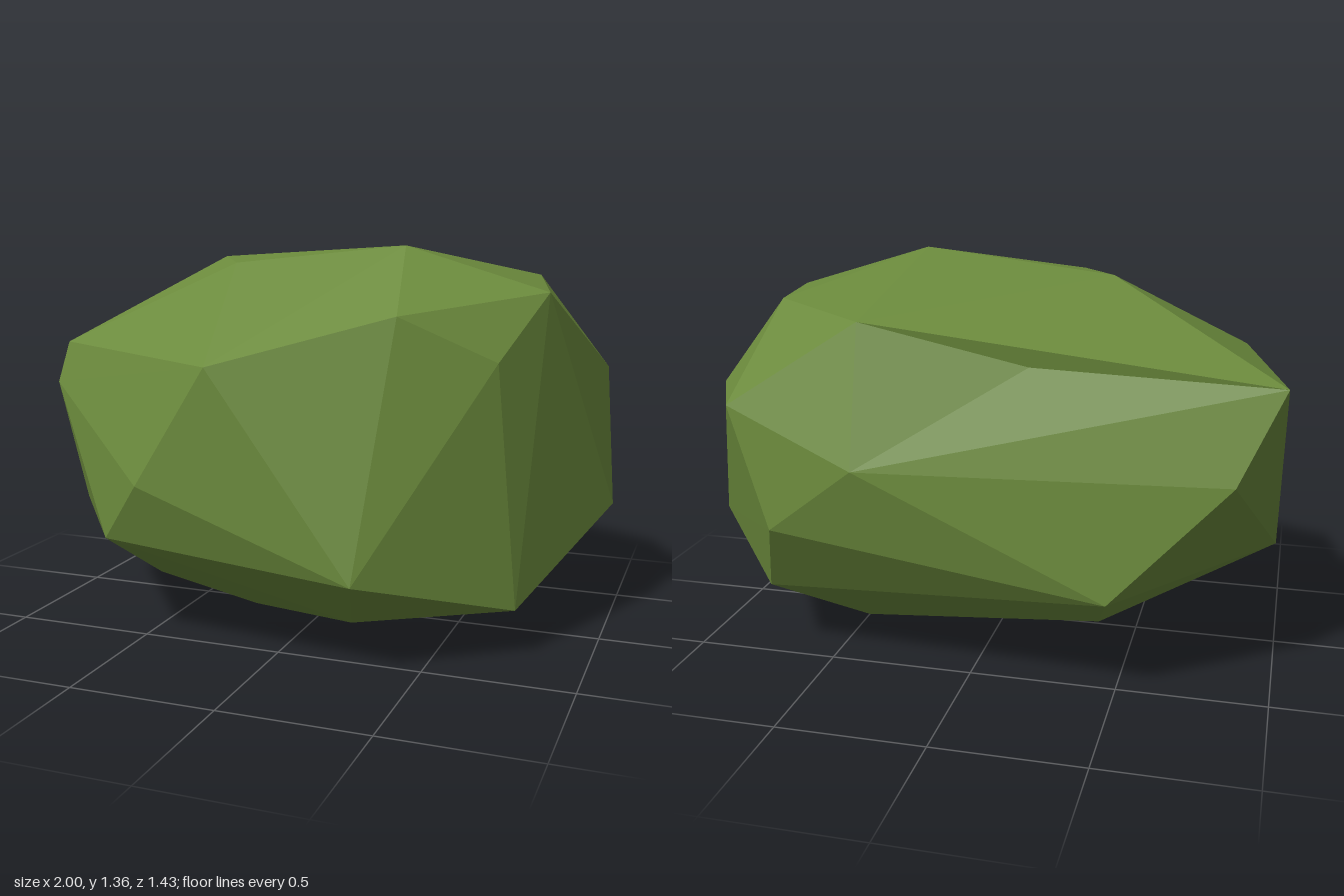
import * as THREE from 'three';
import { ConvexGeometry } from 'three/addons/geometries/ConvexGeometry.js';

// Corners of the rock, ordered by region
const corners = [
  // crown
  [-1, 1.04, -0.44], [-0.38, 1.3, 0.04], [-0.24, 1.29, 0.265], [0.35, 1.355, 0.22],
  [0.82, 1.21, 0.17], [0.7, 1.235, -0.32], [0.35, 1.21, -0.555], [-0.2, 1.08, -0.5],
  // front
  [-0.83, 1.01, 0.4], [-0.86, 0.87, 0.43], [-0.16, 0.99, 0.705], [0.41, 1.15, 0.515],
  [0.7, 1.0, 0.37], [-0.41, 0.59, 0.715], [-0.58, 0.375, 0.62], [0.32, 0.32, 0.69],
  // sides and back
  [-0.985, 0.355, 0.06], [0.96, 0.92, -0.27], [1, 0.43, -0.235], [0.8, 0.92, -0.595],
  [0.33, 0.76, -0.712], [0.64, 0.52, -0.66], [-0.86, 0.745, -0.545], [-0.48, 0.355, -0.635],
  // underside
  [0.76, 0.17, 0.29], [0.73, 0.245, -0.48], [0.45, 0.065, -0.26], [0.21, 0.08, 0.35],
  [-0.27, 0, 0.065], [-0.58, 0.14, 0.23], [-0.44, 0.24, -0.5],
].map((c) => new THREE.Vector3(...c));

const centre = new THREE.Vector3(0, 0.68, 0);

function nearestIndex(points, p) {
  let best = 0;
  points.forEach((q, i) => {
    if (q.distanceToSquared(p) < points[best].distanceToSquared(p)) best = i;
  });
  return best;
}

// Skin the corners with a hull. Corners lying in a dent are pushed outwards
// until the hull uses them, then every corner returns to its true place.
function rockGeometry() {
  const lifted = corners.map((c) => c.clone());
  const v = new THREE.Vector3();
  let geometry, used;
  for (let pass = 0; pass < 80; pass++) {
    geometry = new ConvexGeometry(lifted);
    const pos = geometry.attributes.position;
    used = [];
    for (let i = 0; i < pos.count; i++) used.push(nearestIndex(lifted, v.fromBufferAttribute(pos, i)));
    const missing = lifted.filter((_, i) => !used.includes(i));
    if (missing.length === 0) break;
    missing.forEach((p) => p.sub(centre).multiplyScalar(1.01).add(centre));
  }
  used.forEach((corner, i) => geometry.attributes.position.setXYZ(i, ...corners[corner].toArray()));
  geometry.computeVertexNormals();
  return geometry;
}

export function createModel() {
  const group = new THREE.Group();
  group.name = 'boulder';

  const mossGreen = new THREE.MeshStandardMaterial({ color: 0x6b8a3c, flatShading: true });
  mossGreen.name = 'mossGreen';

  const rock = new THREE.Mesh(rockGeometry(), mossGreen);
  rock.name = 'rock';
  group.add(rock);
  return group;
}
